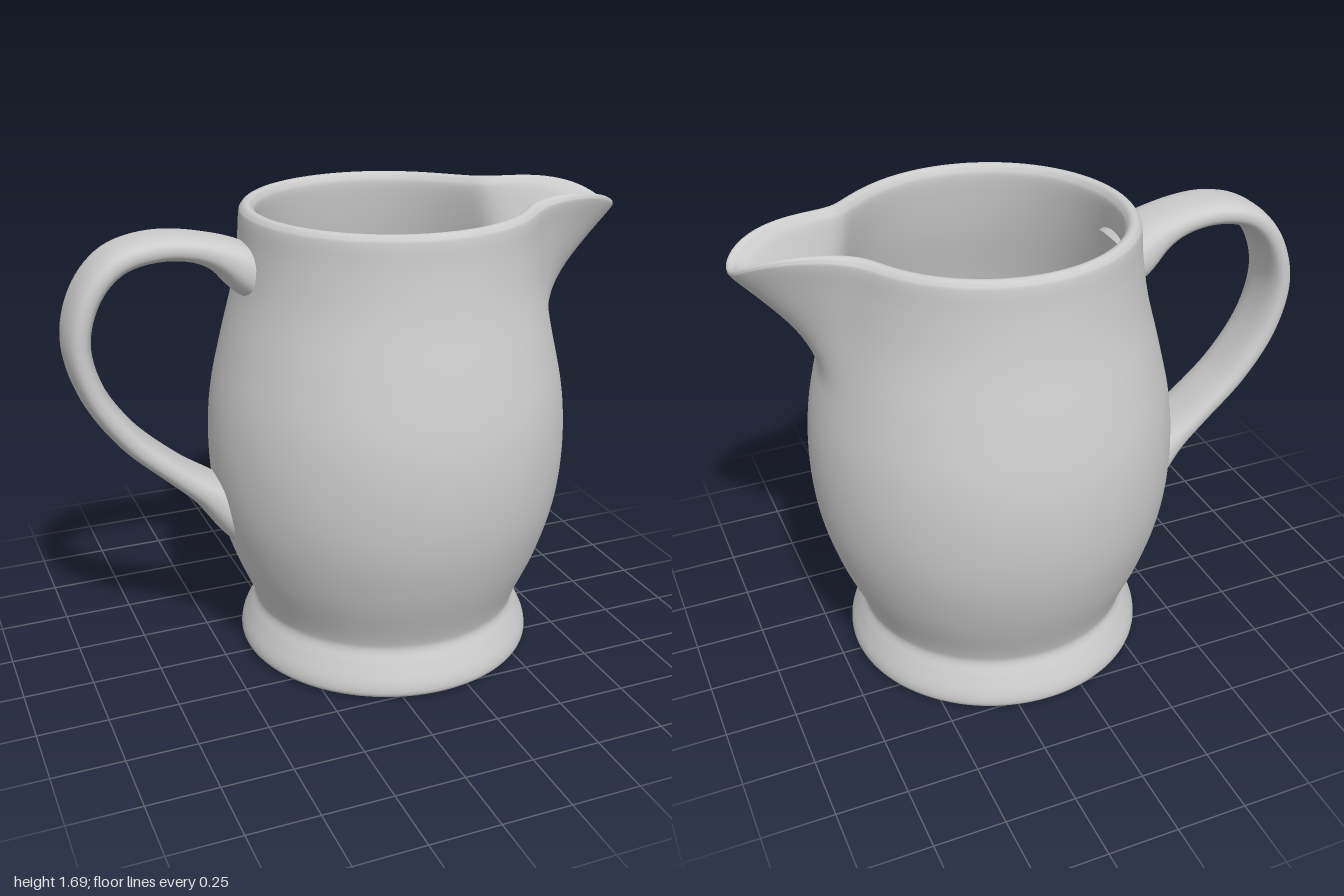
import * as THREE from 'three';

const material = new THREE.MeshStandardMaterial({ color: 0xcccccc, side: THREE.DoubleSide });

// Smooth skin over a grid of points: u runs round (closed), v runs along.
function skin(name, nu, nv, point) {
  const pos = [], index = [];
  for (let j = 0; j <= nv; j++)
    for (let i = 0; i < nu; i++) pos.push(...point(i / nu, j / nv));
  for (let j = 0; j < nv; j++)
    for (let i = 0; i < nu; i++) {
      const k = (i + 1) % nu;
      const a = j * nu + i, b = j * nu + k, c = a + nu, d = b + nu;
      index.push(a, c, b, b, c, d);
    }
  const geo = new THREE.BufferGeometry();
  geo.setAttribute('position', new THREE.Float32BufferAttribute(pos, 3));
  geo.setIndex(index);
  geo.computeVertexNormals();
  const mesh = new THREE.Mesh(geo, material);
  mesh.name = name;
  return mesh;
}

const spline = pts => new THREE.CatmullRomCurve3(pts.map(p => new THREE.Vector3(...p)));
const bell = (d, width, power = 2) => Math.exp(-Math.pow(d / width, power));

// Vessel profile: radius, height, and 0 outside / 1 inside the wall.
const profile = spline([
  [0.001, 0.06, 0], [0.25, 0.06, 0], [0.43, 0.06, 0], [0.46, 0.03, 0], [0.485, 0.005, 0], [0.52, 0.003, 0],
  [0.545, 0.02, 0], [0.545, 0.055, 0], [0.515, 0.125, 0], [0.492, 0.175, 0], [0.5, 0.215, 0],
  [0.575, 0.4, 0], [0.63, 0.6, 0], [0.648, 0.8, 0], [0.635, 1.0, 0], [0.592, 1.2, 0],
  [0.542, 1.4, 0], [0.52, 1.55, 0], [0.514, 1.63, 0], [0.505, 1.66, 0.2], [0.485, 1.672, 0.5],
  [0.464, 1.658, 0.8], [0.456, 1.62, 1], [0.465, 1.54, 1], [0.49, 1.4, 1], [0.54, 1.2, 1],
  [0.583, 1.0, 1], [0.596, 0.8, 1], [0.577, 0.6, 1], [0.52, 0.38, 1], [0.45, 0.22, 1],
  [0.36, 0.15, 1], [0.2, 0.14, 1], [0.001, 0.14, 1],
]);

// Body with the rim pulled out into a pouring spout on the +x side
function bodyPoint(u, v) {
  const p = profile.getPoint(v);
  const w = (u - 0.5) * Math.PI * 2;
  const angle = w - 0.55 * Math.sin(w); // denser columns near the spout
  const g = Math.pow(THREE.MathUtils.clamp((p.y - 1.2) / 0.465, 0, 1), 1.25);
  const lift = THREE.MathUtils.smoothstep(p.y, 1.2, 1.66);
  const d = Math.abs(THREE.MathUtils.radToDeg(angle - 0.08));
  const dn = d / (0.7 + 0.3 * g) * (1 + 0.13 * p.z);
  const r = p.x + g * (0.31 * bell(dn, 16.5, 2.4) + 0.04 * bell(dn, 30));
  const y = p.y + lift * (0.03 * bell(d, 24) - 0.09 * bell(d, 9));
  return [0.14 + r * Math.cos(angle), y, r * Math.sin(angle)];
}

// Strap handle: flattened oval swept along a loop, flaring into the wall
const loop = spline([
  [-0.35, 1.46, -0.03], [-0.46, 1.535, -0.03], [-0.57, 1.573, -0.032], [-0.7, 1.58, -0.035],
  [-0.82, 1.545, -0.04], [-0.91, 1.45, -0.042], [-0.958, 1.29, -0.045], [-0.922, 1.11, -0.045],
  [-0.81, 0.93, -0.042], [-0.66, 0.785, -0.04], [-0.53, 0.675, -0.04], [-0.41, 0.55, -0.04],
]);

function handlePoint(u, v) {
  const p = loop.getPointAt(v), t = loop.getTangentAt(v);
  const flare = Math.max(bell(v, 0.08), bell(1 - v, 0.11));
  const half = 0.044 + 0.04 * flare, wide = 0.112 + 0.03 * flare;
  const a = u * Math.PI * 2, c = Math.cos(a), s = Math.sin(a);
  const n = Math.sign(c) * Math.pow(Math.abs(c), 0.8) * half;
  const b = -Math.sign(s) * Math.pow(Math.abs(s), 0.8) * wide;
  const len = Math.hypot(t.x, t.y);
  return [p.x - t.y / len * n, p.y + t.x / len * n, p.z + b];
}

export function createModel() {
  const pitcher = new THREE.Group();
  pitcher.name = 'pitcher';
  pitcher.add(skin('body', 160, 165, bodyPoint));
  pitcher.add(skin('handle', 32, 80, handlePoint));
  return pitcher;
}
